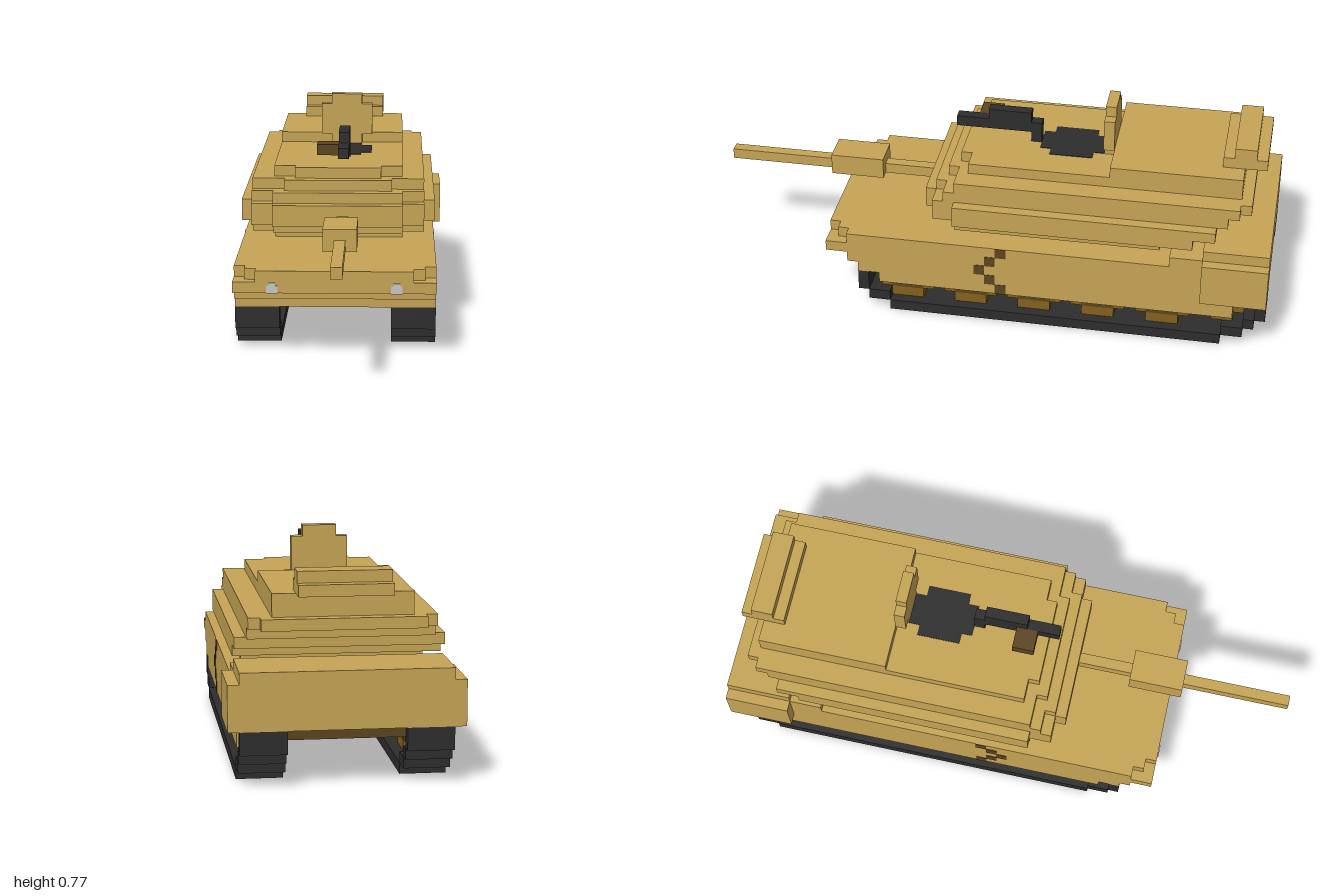
import * as THREE from 'three';

const U = 2 / 52; // one block

const mat = (name, color) => {
  const m = new THREE.MeshStandardMaterial({ color });
  m.name = name;
  return m;
};

export function createModel() {
  const sand = mat('sand', 0xc6a455);
  const black = mat('black', 0x2d2d2d);
  const brown = mat('darkBrown', 0x5c4520);
  const ochre = mat('ochre', 0x85621e);
  const grey = mat('lampGrey', 0xc8c8c8);

  const model = new THREE.Group();
  model.name = 'tank';
  const group = (name) => {
    const g = new THREE.Group();
    g.name = name;
    model.add(g);
    return g;
  };

  // Box given by its limits in blocks
  const box = (parent, name, material, x0, x1, y0, y1, z0, z1) => {
    const geo = new THREE.BoxGeometry((x1 - x0) * U, (y1 - y0) * U, (z1 - z0) * U);
    const mesh = new THREE.Mesh(geo, material);
    mesh.name = name;
    mesh.position.set((x0 + x1) / 2 * U, (y0 + y1) / 2 * U, (z0 + z1) / 2 * U);
    parent.add(mesh);
  };
  // Box centred on x
  const slab = (parent, name, material, w, ...rest) => box(parent, name, material, -w, w, ...rest);
  // Box on both sides
  const pair = (parent, name, material, x0, x1, ...rest) => {
    box(parent, name, material, x0, x1, ...rest);
    box(parent, name, material, -x1, -x0, ...rest);
  };

  // Hull: half width, y range, z range
  const hull = group('hull');
  [
    [9, 4, 5, -23, 12], [9, 5, 6, -26, 13], [9, 6, 7, -26, 15],
    [9, 7, 8, -26, 13], [8, 7, 8, 13, 14], [7, 7, 8, 13, 15],
    [9, 8, 9, -26, -17], [9, 9, 10, -26, -20],
  ].forEach((s) => slab(hull, 'hullLayer', sand, ...s));
  pair(hull, 'sideSkirt', sand, 8, 9, 3, 4, -23, 10);
  pair(hull, 'rearSideBox', sand, 9, 10, 5, 9, -26, -20);
  slab(hull, 'rearAxle', brown, 5, 4, 5, -25, -23);

  // Headlights and side chevrons
  pair(hull, 'headlight', grey, 5, 6, 6, 6.7, 15, 15.1);
  pair(hull, 'headlightTop', grey, 5.2, 5.8, 6.7, 6.95, 15, 15.1);
  [[3, -2], [4, -1], [5, 0], [6, -1], [7, -2]].forEach(([y, z]) =>
    pair(hull, 'chevronMark', brown, 9, 9.05, y, y + 1, z, z + 1));

  // Tracks: y range, z range
  const tracks = group('tracks');
  [
    [0, 1, -22, 9], [1, 2, 9, 11], [2, 4, 11, 12],
    [1, 2, -24, -22], [2, 3, -25, -24], [3, 5, -26, -25],
  ].forEach((s) => pair(tracks, 'trackSection', black, 5, 9, ...s));

  // Road wheels with hubs
  const wheels = group('wheels');
  for (let i = 0; i < 5; i++) {
    const z = 7.5 - 6 * i;
    pair(wheels, 'wheelBottom', ochre, 6, 8, 1, 2, z - 1.5, z + 1.5);
    pair(wheels, 'wheelRim', ochre, 6, 8, 2, 4, z - 2.5, z + 2.5);
    pair(wheels, 'wheelHub', brown, 5.95, 8.05, 2, 4, z - 1.5, z + 1.5);
  }
  // Drive sprockets
  pair(wheels, 'sprocketRim', ochre, 6, 8, 2, 4, -23, -21);
  pair(wheels, 'sprocketTooth', ochre, 6, 8, 3, 4, -24, -23);
  pair(wheels, 'sprocketHub', brown, 5, 8, 4, 5, -25, -23);

  // Turret: half width, y range, z range
  const turret = group('turret');
  [
    [6, 8, 9, -15, 1],
    [8, 9, 10, -16, 3], [6, 9, 10, 3, 4],
    [9, 10, 11, -19, 3], [9, 11, 12, -21, 3],
    [8, 10, 12, 3, 5], [6, 10, 12, 5, 6],
    [8, 12, 13, -22, 4], [6, 12, 13, 4, 5],
    [8, 13, 14, -23, 3], [7, 13, 14, -24, -23], [5, 13, 14, 3, 4],
    [6, 14, 15, -23, 2], [4, 14, 15, 2, 3],
    [6, 15, 16, -23, -11],
  ].forEach((s) => slab(turret, 'turretLayer', sand, ...s));

  // Stowage box at the back of the roof
  slab(turret, 'roofBoxBase', sand, 4, 16, 17, -25, -21);
  slab(turret, 'roofBoxLid', sand, 4, 17, 18, -24, -22);

  // Upright sight plate
  box(turret, 'sightFoot', sand, -1, 2, 15, 16, -11, -10);
  box(turret, 'sightPlate', sand, -2, 3, 16, 19, -11, -10);
  box(turret, 'sightTop', sand, -1, 2, 19, 20, -11, -10);

  // Roof hatch
  box(turret, 'hatch', black, -2, 3, 15, 15.05, -9, -5);
  box(turret, 'hatchBack', black, -1, 2, 15, 15.05, -10, -9);
  box(turret, 'hatchFront', black, -1, 2, 15, 15.05, -5, -4);

  // Main gun
  const gun = group('mainGun');
  box(gun, 'barrelRear', sand, 0, 1, 10, 11, 6, 11);
  box(gun, 'barrelSleeve', sand, -1, 2, 10, 12, 11, 16);
  box(gun, 'barrelFront', sand, 0, 1, 10, 11, 16, 26);

  // Roof machine gun
  const roofGun = group('roofGun');
  box(roofGun, 'post', black, 0, 1, 15, 16, -4, -3);
  box(roofGun, 'roofGunBarrel', black, 0, 1, 16, 17, -4, 4);
  box(roofGun, 'receiver', black, 0, 1, 17, 18, -3, 1);
  box(roofGun, 'ammoBox', brown, -2, 0, 16, 17, 0, 2);

  return model;
}
